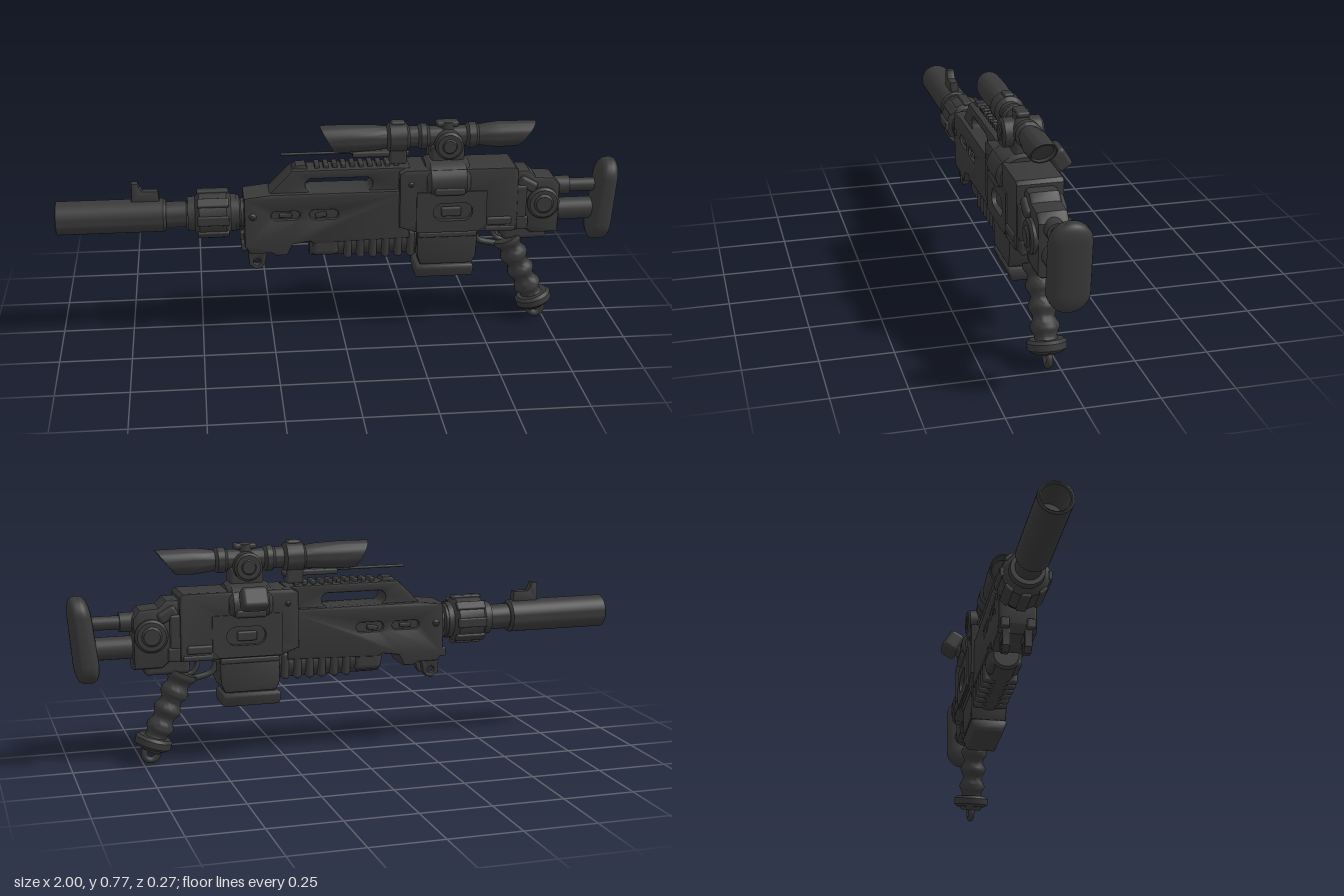
import * as THREE from 'three';
import { toCreasedNormals } from 'three/addons/utils/BufferGeometryUtils.js';
import { RoundedBoxGeometry } from 'three/addons/geometries/RoundedBoxGeometry.js';

export function createModel() {
  const model = new THREE.Group();
  model.position.z = 0.039; // body axis sits off centre because of the bolt handle
  const root = new THREE.Group();
  root.add(model);
  const gunmetal = new THREE.MeshStandardMaterial({ color: 0x393939 });
  gunmetal.name = 'gunmetal';

  const add = (name, geo, x = 0, y = 0, z = 0, rx = 0, ry = 0, rz = 0) => {
    const m = new THREE.Mesh(geo, gunmetal);
    m.name = name;
    m.position.set(x, y, z);
    m.rotation.set(rx, ry, rz);
    model.add(m);
    return m;
  };
  const box = (name, w, h, d, x, y, z = 0, r = 0.008, rz = 0) =>
    add(name, new RoundedBoxGeometry(w, h, d, 2, r), x, y, z, 0, 0, rz);
  // side outline extruded symmetrically across z
  const plate = (name, pts, width, holes = [], bevel = 0.008, z = 0) => {
    const s = new THREE.Shape(pts.map(p => new THREE.Vector2(p[0], p[1])));
    s.holes = holes;
    const g = new THREE.ExtrudeGeometry(s, {
      depth: width - 2 * bevel, bevelEnabled: bevel > 0, bevelThickness: bevel,
      bevelSize: bevel, bevelOffset: -bevel, bevelSegments: 2, curveSegments: 10
    });
    g.translate(0, 0, -width / 2 + bevel);
    return add(name, toCreasedNormals(g, 0.6), 0, 0, z);
  };
  // capsule shaped opening
  const slot = (cx, cy, w, h) => {
    const p = new THREE.Path(), r = h / 2, d = w / 2 - r;
    p.absarc(cx + d, cy, r, -Math.PI / 2, Math.PI / 2, false);
    p.absarc(cx - d, cy, r, Math.PI / 2, Math.PI * 1.5, false);
    p.closePath();
    return p;
  };
  // profile of [x, radius] turned around the x axis
  const turned = (pts, seg = 32) => {
    const g = new THREE.LatheGeometry(pts.map(p => new THREE.Vector2(p[1], p[0])), seg);
    return toCreasedNormals(g.rotateZ(-Math.PI / 2), 0.6);
  };
  const rodZ = (name, r, len, x, y, z = 0, seg = 28) => {
    const b = 0.008, h = len / 2;
    const g = turned([[-h, 0], [-h, r - b], [-h + b, r], [h - b, r], [h, r - b], [h, 0]], seg);
    return add(name, g, x, y, z, 0, Math.PI / 2, 0);
  };
  const AX = 0.452; // barrel height

  // Hollow muzzle tube, barrel and collar
  add('muzzleTube', turned([[-0.88, 0], [-0.88, 0.045], [-0.995, 0.047], [-1, 0.052], [-0.995, 0.059],
    [-0.625, 0.059], [-0.615, 0.052], [-0.615, 0]], 40), 0, AX);
  add('barrel', turned([[-0.64, 0.046], [-0.545, 0.046], [-0.54, 0.036], [-0.4, 0.036], [-0.4, 0.062],
    [-0.36, 0.062], [-0.355, 0.05], [-0.32, 0.05]]), 0, AX);
  add('collar', turned([[-0.54, 0], [-0.54, 0.06], [-0.515, 0.062], [-0.5, 0.083], [-0.405, 0.083],
    [-0.39, 0.066], [-0.37, 0.066], [-0.37, 0]], 24), 0, AX);
  for (let i = 0; i < 8; i++) {
    const a = i * Math.PI / 4;
    add('collarPad', new RoundedBoxGeometry(0.11, 0.014, 0.034, 2, 0.005),
      -0.452, AX + Math.cos(a) * 0.082, Math.sin(a) * 0.082, a, 0, 0);
  }
  plate('frontSight', [[-0.735, 0.5], [-0.635, 0.5], [-0.64, 0.545], [-0.695, 0.545], [-0.705, 0.56],
    [-0.71, 0.575], [-0.732, 0.575]], 0.032, [], 0.004);

  // Fore body, with side recesses cut through an outer shell around a core
  plate('foreBody', [[-0.345, 0.525], [-0.255, 0.535], [0.24, 0.535], [0.24, 0.355], [-0.1, 0.345],
    [-0.115, 0.355], [-0.175, 0.345], [-0.195, 0.305], [-0.235, 0.305], [-0.25, 0.315], [-0.325, 0.315], [-0.345, 0.345]],
    0.134, [slot(-0.2, 0.455, 0.1, 0.03), slot(-0.065, 0.455, 0.1, 0.034)]);
  box('foreCore', 0.5, 0.14, 0.106, -0.05, 0.445);
  for (const s of [1, -1]) {
    box('sideVent', 0.045, 0.016, 0.012, -0.2, 0.455, s * 0.057, 0.004);
    box('sideVent', 0.04, 0.018, 0.012, -0.075, 0.452, s * 0.057, 0.004, 0.2);
    rodZ('foreBolt', 0.014, 0.02, -0.315, 0.455, s * 0.064, 16);
    box('frontCatch', 0.025, 0.035, 0.03, -0.345, 0.345, s * 0.045, 0.006);
    // sling eyes under the front end
    plate('slingEye', [[-0.335, 0.335], [-0.262, 0.335], [-0.272, 0.275], [-0.285, 0.255], [-0.31, 0.252], [-0.33, 0.27]],
      0.028, [slot(-0.302, 0.28, 0.026, 0.024)], 0.005, s * 0.038);
  }

  // Carrying handle with opening and toothed rail
  plate('carryHandle', [[-0.255, 0.52], [-0.255, 0.535], [-0.175, 0.615], [0.24, 0.615], [0.24, 0.52]],
    0.1, [slot(-0.01, 0.559, 0.235, 0.046)]);
  plate('railBase', [[-0.18, 0.605], [-0.16, 0.628], [-0.125, 0.628], [-0.115, 0.605]], 0.06, [], 0.004);
  for (let i = 0; i < 10; i++) box('railTooth', 0.018, 0.03, 0.056, -0.085 + i * 0.031, 0.615, 0, 0.004);

  // Ribbed lower grip under the fore body
  add('lowerGrip', turned([[-0.115, 0], [-0.115, 0.045], [-0.105, 0.054], [0.265, 0.054], [0.265, 0]], 24), 0, 0.335);
  box('gripFront', 0.1, 0.09, 0.12, -0.06, 0.34, 0, 0.02);
  for (let i = 0; i < 6; i++) box('gripRib', 0.028, 0.1, 0.128, 0.02 + i * 0.045, 0.332, 0, 0.013);

  // Receiver with window recess
  plate('receiver', [[0.2, 0.6], [0.225, 0.612], [0.61, 0.612], [0.622, 0.6], [0.622, 0.375], [0.27, 0.375], [0.2, 0.4]],
    0.16, [slot(0.39, 0.455, 0.14, 0.066)]);
  box('receiverCore', 0.36, 0.2, 0.13, 0.4, 0.48);
  for (const s of [1, -1]) {
    box('sidePanel', 0.26, 0.15, 0.02, 0.385, 0.455, s * 0.075, 0.006).geometry =
      new THREE.ExtrudeGeometry((() => {
        const p = new THREE.Shape([[-0.125, -0.075], [0.1, -0.075], [0.125, -0.05], [0.125, 0.075], [-0.125, 0.075]]
          .map(q => new THREE.Vector2(...q)));
        p.holes = [slot(0.005, 0, 0.14, 0.066)];
        return p;
      })(), { depth: 0.02, bevelEnabled: false }).translate(0, 0, -0.01);
    box('windowCover', 0.07, 0.034, 0.02, 0.385, 0.452, s * 0.067, 0.006);
    rodZ('receiverPin', 0.012, 0.014, 0.24, 0.56, s * 0.079, 16);
    box('latch', 0.09, 0.03, 0.024, 0.555, 0.415, s * 0.076, 0.008);
    box('latch', 0.045, 0.05, 0.024, 0.64, 0.4, s * 0.062, 0.008);
    box('lowerLatch', 0.11, 0.022, 0.03, 0.56, 0.385, s * 0.068, 0.008);
  }
  // Rounded saddle over the receiver
  add('saddle', turned([[0.295, 0], [0.295, 0.085], [0.31, 0.098], [0.435, 0.098], [0.45, 0.085], [0.45, 0]], 40)
    .scale(1, 0.75, 1.02), 0, 0.563);
  box('saddleRim', 0.11, 0.03, 0.202, 0.375, 0.535, 0, 0.01);

  // Magazine and its flared floor
  plate('magazine', [[0.265, 0.39], [0.485, 0.39], [0.48, 0.28], [0.465, 0.25], [0.28, 0.25], [0.268, 0.28]], 0.134);
  box('magazineBand', 0.21, 0.02, 0.146, 0.375, 0.365, 0, 0.006);
  const floor = new RoundedBoxGeometry(0.21, 0.05, 0.136, 3, 0.012);
  const fp = floor.attributes.position;
  for (let i = 0; i < fp.count; i++) if (fp.getY(i) < 0) fp.setZ(i, fp.getZ(i) * 0.83);
  floor.computeVertexNormals();
  add('magazineFloor', toCreasedNormals(floor, 0.7), 0.368, 0.221);
  box('magazineNeck', 0.18, 0.03, 0.1, 0.37, 0.248);

  // Rear housing with side knobs
  plate('rearHousing', [[0.6, 0.59], [0.665, 0.59], [0.69, 0.565], [0.755, 0.56], [0.78, 0.53], [0.78, 0.35],
    [0.68, 0.35], [0.655, 0.37], [0.6, 0.37]], 0.106, [], 0.014);
  rodZ('rearKnob', 0.058, 0.142, 0.718, 0.468);
  rodZ('rearKnobCap', 0.036, 0.156, 0.718, 0.468);
  for (const s of [1, -1]) {
    box('rearRib', 0.07, 0.04, 0.03, 0.66, 0.54, s * 0.055, 0.012, -0.5);
    box('rearRib', 0.04, 0.12, 0.02, 0.635, 0.48, s * 0.065, 0.008);
  }

  // Sliding stock: two rods and a padded butt
  add('stockRodUpper', new THREE.CylinderGeometry(0.024, 0.024, 0.23, 24), 0.83, 0.512, 0, 0, 0, Math.PI / 2);
  add('stockRodLower', new THREE.CylinderGeometry(0.04, 0.04, 0.16, 24), 0.83, 0.423, 0, 0, 0, Math.PI / 2);
  add('stockSleeve', new THREE.CylinderGeometry(0.034, 0.034, 0.06, 24), 0.79, 0.512, 0, 0, 0, Math.PI / 2);
  const pad = new THREE.CapsuleGeometry(0.068, 0.17, 12, 32);
  const pp = pad.attributes.position;
  for (let i = 0; i < pp.count; i++) { // flatten, then lean the foot forward
    const x = pp.getX(i), y = pp.getY(i);
    const flat = Math.sign(x) * 0.044 * Math.pow(Math.abs(x) / 0.068, 0.55);
    pp.setX(i, flat + y * 0.08 + (x < 0 ? 0.09 : 0.02) * Math.max(0, y) * (x < 0 ? 1 : 0.5));
  }
  pad.computeVertexNormals();
  add('buttPad', pad, 0.943, 0.458);

  // Wavy pistol grip, end disc and lanyard ring
  const wave = [[0.31, 0]];
  for (let i = 0; i <= 30; i++) wave.push([0.31 - i * 0.01, 0.043 + 0.0065 * Math.cos(i * Math.PI / 3.3 - 1)]);
  const grip = toCreasedNormals(new THREE.LatheGeometry(
    wave.reverse().map(p => new THREE.Vector2(p[1] * (1 + Math.max(0, p[0] - 0.2)), p[0] - 0.05)), 28), 0.9);
  add('pistolGrip', grip, 0.708, 0.085, 0, 0, 0, 0.42);
  add('gripDisc', toCreasedNormals(new THREE.LatheGeometry([[0, -0.022], [0.052, -0.022], [0.065, -0.012],
    [0.066, 0.01], [0.056, 0.02], [0, 0.02]].map(p => new THREE.Vector2(...p)), 32), 0.6), 0.712, 0.078, 0, 0, 0, 0.3);
  add('lanyardRing', new THREE.TorusGeometry(0.024, 0.012, 12, 28), 0.722, 0.036);

  // Trigger and its guard
  const curve = pts => new THREE.CatmullRomCurve3(pts.map(p => new THREE.Vector3(p[0], p[1], 0)));
  add('triggerGuard', new THREE.TubeGeometry(curve([[0.48, 0.35], [0.5, 0.315], [0.55, 0.3], [0.6, 0.29], [0.645, 0.3]]), 24, 0.011, 10));
  add('trigger', new THREE.TubeGeometry(curve([[0.555, 0.385], [0.55, 0.345], [0.565, 0.32], [0.585, 0.312]]), 16, 0.009, 10));
  box('gripRoot', 0.16, 0.06, 0.07, 0.66, 0.352, 0, 0.015);

  // Bolt handle on the far side
  const bolt = new THREE.Group();
  bolt.name = 'boltHandle';
  bolt.position.set(0.372, 0.565, -0.085);
  bolt.rotation.x = 0.55;
  const arm = new THREE.Mesh(new RoundedBoxGeometry(0.055, 0.05, 0.1, 3, 0.015), gunmetal);
  arm.name = 'boltArm';
  const knob = new THREE.Mesh(new RoundedBoxGeometry(0.095, 0.078, 0.06, 3, 0.016), gunmetal);
  knob.name = 'boltKnob';
  knob.position.z = -0.05;
  bolt.add(arm, knob);
  model.add(bolt);

  // Telescopic sight: bells with slanted ends
  const SY = 0.712;
  const scope = turned([[-0.02, 0], [-0.02, 0.038], [-0.047, 0.042], [-0.047, 0.048], [0.03, 0.049], [0.12, 0.045],
    [0.16, 0.04], [0.17, 0.052], [0.23, 0.052], [0.24, 0.038], [0.27, 0.038], [0.28, 0.045], [0.3, 0.045],
    [0.31, 0.036], [0.44, 0.036], [0.45, 0.045], [0.475, 0.045], [0.485, 0.036], [0.52, 0.042], [0.56, 0.046],
    [0.655, 0.044], [0.655, 0.039], [0.635, 0.036], [0.635, 0]], 36);
  const sp = scope.attributes.position;
  for (let i = 0; i < sp.count; i++) {
    const x = sp.getX(i), y = sp.getY(i);
    if (x < 0) sp.setX(i, x - y * 0.55);
    if (x > 0.6) sp.setX(i, x + y * 0.8);
  }
  add('scope', toCreasedNormals(scope, 0.6), 0, SY);
  rodZ('scopeTurret', 0.05, 0.142, 0.375, 0.692);
  rodZ('scopeTurretCap', 0.03, 0.15, 0.375, 0.692);
  add('topTurret', new THREE.CylinderGeometry(0.027, 0.03, 0.06, 24), 0.375, 0.735);
  box('topTurretCap', 0.08, 0.02, 0.045, 0.375, 0.758);
  box('scopeRingLug', 0.05, 0.03, 0.035, 0.2, 0.757);
  box('scopeMountRear', 0.12, 0.09, 0.07, 0.375, 0.645, 0, 0.012);
  box('scopeMountFront', 0.06, 0.06, 0.06, 0.2, 0.65);
  box('scopeMountArm', 0.2, 0.02, 0.04, 0.14, 0.655, 0, 0.006);
  add('aimingRod', new THREE.CylinderGeometry(0.005, 0.005, 0.4, 10), -0.01, 0.661, 0, 0, 0, Math.PI / 2);

  return root;
}
